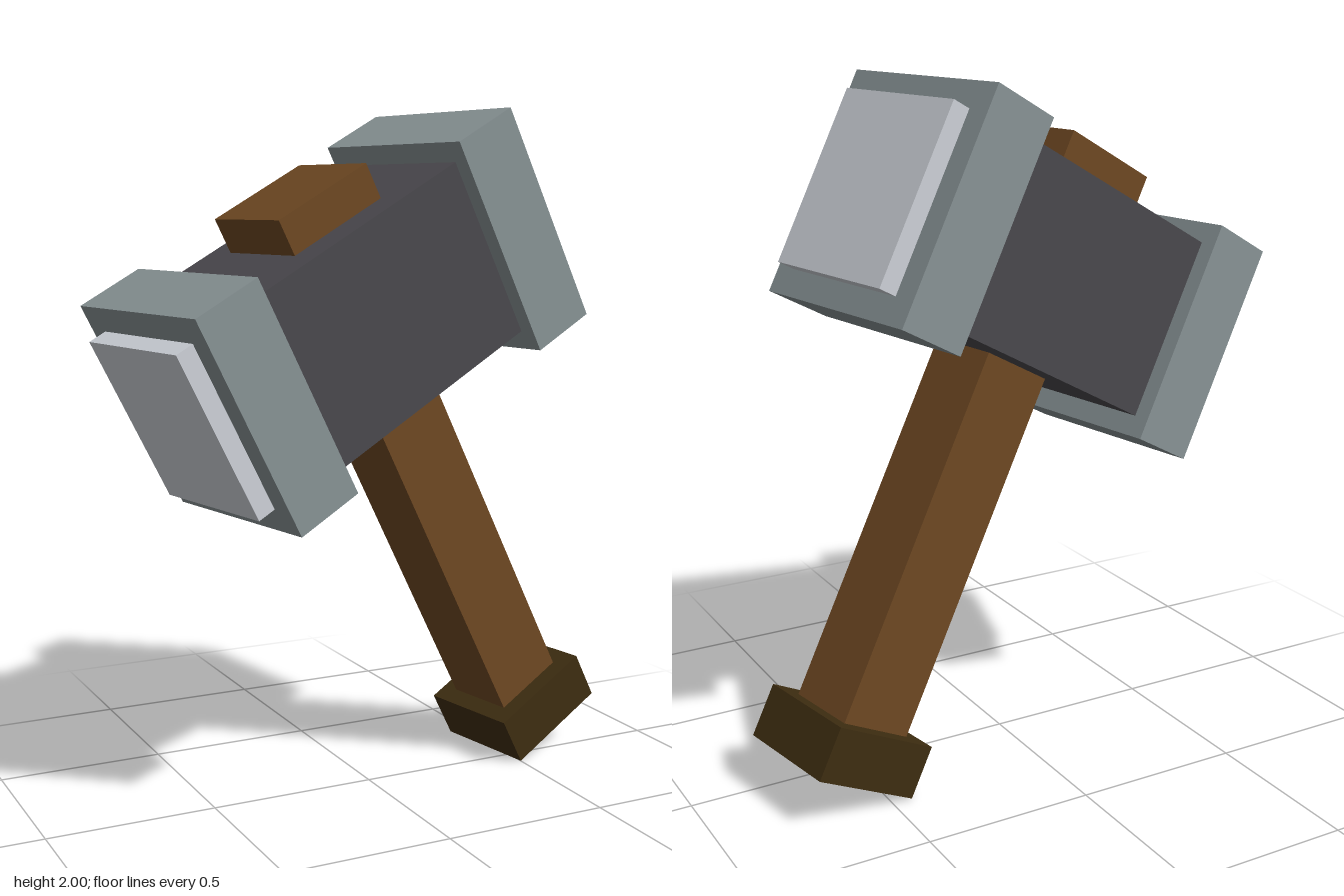
import * as THREE from 'three';

const mat = (name, color) => {
  const m = new THREE.MeshStandardMaterial({ color });
  m.name = name;
  return m;
};

export function createModel() {
  const darkIron = mat('dark iron', 0x4a484d);
  const steel = mat('grey steel', 0x889395);
  const brightSteel = mat('bright steel', 0xcdd1d8);
  const wood = mat('brown wood', 0x6e4822);
  const darkWood = mat('dark wood', 0x3e2d11);

  const model = new THREE.Group();
  model.name = 'hammer';

  // Upright hammer: head along x, handle along y, then tilted and turned
  const tilted = new THREE.Group();
  tilted.name = 'tiltedHammer';
  tilted.rotation.set(0, THREE.MathUtils.degToRad(10), THREE.MathUtils.degToRad(28));
  model.add(tilted);

  const AXIS_X = 0.598, AXIS_Z = -0.018, HEAD_Y = 1.301;
  const box = (name, material, w, h, d, offsetX, y) => {
    const mesh = new THREE.Mesh(new THREE.BoxGeometry(w, h, d), material);
    mesh.name = name;
    mesh.position.set(AXIS_X + offsetX, y, AXIS_Z);
    tilted.add(mesh);
  };

  // Head block with a banded cap and a striking plate on both ends
  box('headBlock', darkIron, 0.75, 0.546, 0.523, 0, HEAD_Y);
  for (const [side, s] of [['left', 1], ['right', -1]]) {
    box(side + 'HeadCap', steel, 0.209, 0.668, 0.626, s * 0.4775, HEAD_Y);
    box(side + 'StrikingPlate', brightSteel, 0.056, 0.514, 0.476, s * 0.61, HEAD_Y);
  }

  // Handle, its wedge on top of the head, and the pommel
  box('handle', wood, 0.236, 1.11, 0.234, 0, 0.48);
  box('handleTop', wood, 0.326, 0.11, 0.326, 0, 1.626);
  box('pommel', darkWood, 0.346, 0.156, 0.346, 0, -0.148);

  return model;
}
